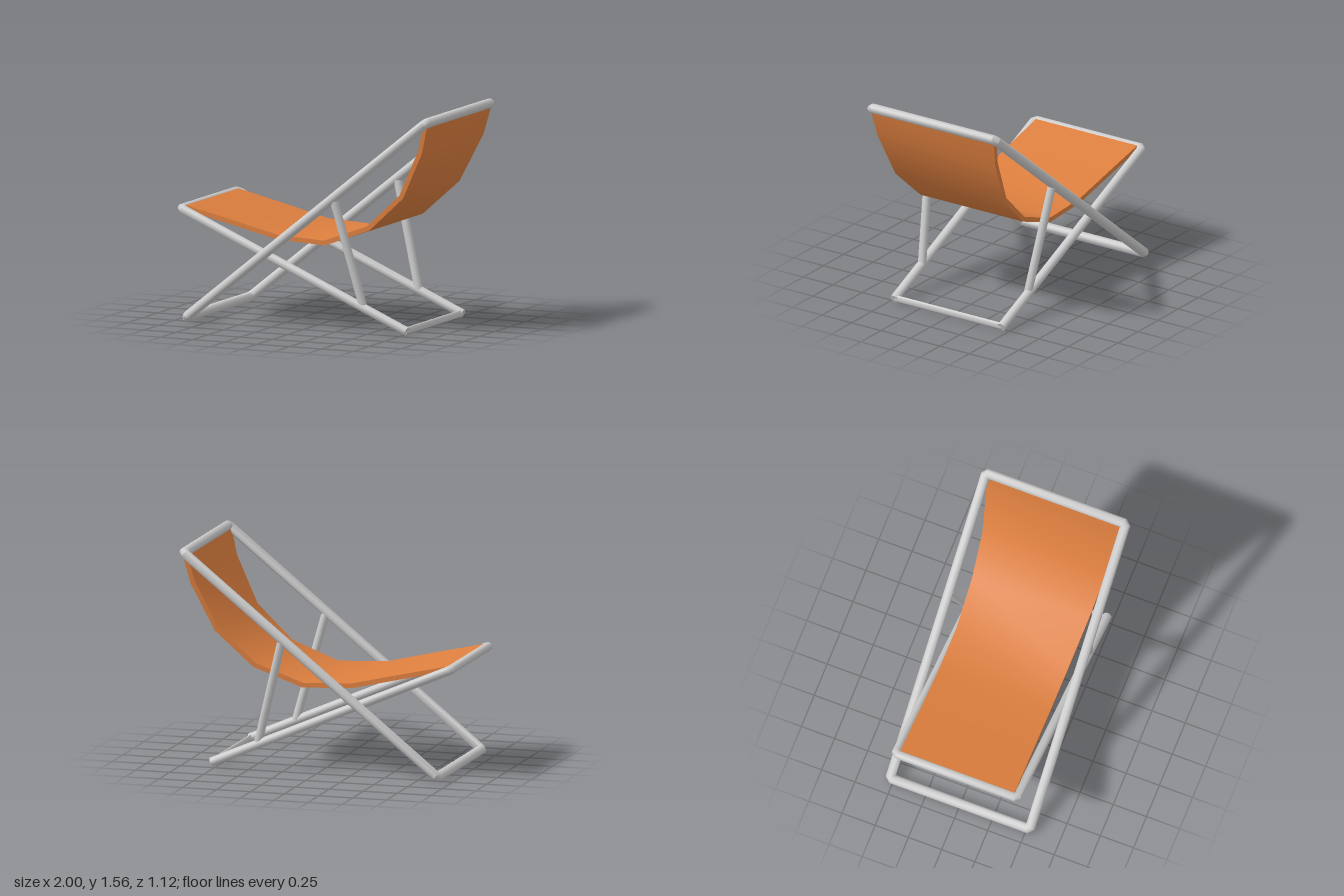
import * as THREE from 'three';
import { toCreasedNormals } from 'three/addons/utils/BufferGeometryUtils.js';

const V = (x, y, z) => new THREE.Vector3(x, y, z);

// Skin a list of equal-sized rings; closed loops join last to first, open ones get caps
function skin(rings, loop) {
  const n = rings[0].length, count = rings.length, idx = [];
  for (let i = 0; i < (loop ? count : count - 1); i++) {
    const p = i * n, q = ((i + 1) % count) * n;
    for (let j = 0; j < n; j++) {
      const k = (j + 1) % n;
      idx.push(p + j, p + k, q + j, p + k, q + k, q + j);
    }
  }
  if (!loop) {
    const e = (count - 1) * n;
    for (let j = 1; j < n - 1; j++) idx.push(0, j + 1, j, e, e + j, e + j + 1);
  }
  const g = new THREE.BufferGeometry().setFromPoints(rings.flat());
  g.setIndex(idx);
  return toCreasedNormals(g, 0.7);
}

// Round tube along a planar path with mitred corners
function mitredTube(path, r, loop, sides = 12) {
  const c = path.length;
  const dir = (a, b) => path[(b + c) % c].clone().sub(path[(a + c) % c]).normalize();
  const normal = dir(0, 1).cross(dir(1, 2)).normalize();
  const rings = path.map((p, i) => {
    let tin = dir(i - 1, i), tout = dir(i, i + 1);
    if (!loop && i === 0) tin = tout;
    if (!loop && i === c - 1) tout = tin;
    const b = normal.clone().cross(tin).add(normal.clone().cross(tout)).normalize();
    const stretch = 1 / Math.sqrt((1 + tin.dot(tout)) / 2);
    return Array.from({ length: sides }, (_, j) => {
      const a = (j / sides) * Math.PI * 2;
      return p.clone().addScaledVector(b, r * Math.cos(a) * stretch)
        .addScaledVector(normal, r * Math.sin(a));
    });
  });
  return skin(rings, loop);
}

// Replace a corner by two points to blunt it
function blunt(prev, p, next, d) {
  return [prev, next].map(q => p.clone().addScaledVector(q.clone().sub(p).normalize(), d));
}

export function createModel() {
  const group = new THREE.Group();
  const grey = new THREE.MeshStandardMaterial({ color: 0xcccccc });
  const orange = new THREE.MeshStandardMaterial({ color: 0xdd7f3f });
  const add = (name, geo, mat = grey) => {
    const m = new THREE.Mesh(geo, mat);
    m.name = name;
    group.add(m);
    return m;
  };
  const rod = (name, a, b, r) => {
    const m = add(name, new THREE.CylinderGeometry(r, r, a.distanceTo(b), 12));
    m.position.copy(a).lerp(b, 0.5);
    m.quaternion.setFromUnitVectors(V(0, 1, 0), b.clone().sub(a).normalize());
    return m;
  };

  // Outer frame: a closed rectangle leaning back
  const outer = [V(-0.895, 0.035, 0.525), V(0.965, 1.53, 0.525),
    V(0.965, 1.53, -0.525), V(-0.895, 0.035, -0.525)];
  const outerPath = outer.flatMap((p, i) => blunt(outer[(i + 3) % 4], p, outer[(i + 1) % 4], 0.02));
  add('backFrame', mitredTube(outerPath, 0.035, true));

  // Inner frame: a U open at its lower end, closed there by a thin flat bar
  const inner = [V(0.785, 0.032, 0.455), V(-0.967, 0.79, 0.455),
    V(-0.967, 0.79, -0.455), V(0.785, 0.032, -0.455)];
  add('seatFrame', mitredTube([inner[0], ...blunt(inner[0], inner[1], inner[2], 0.02),
    ...blunt(inner[1], inner[2], inner[3], 0.02), inner[3]], 0.032, false));
  const bar = rod('seatFrameBar', V(0.775, 0.035, -0.455), V(0.775, 0.035, 0.455), 0.026);
  bar.geometry.scale(0.5, 1, 1);

  // Support struts between the frames
  for (const s of [1, -1]) {
    rod(s > 0 ? 'strutFront' : 'strutBack', V(0.25, 0.935, 0.52 * s), V(0.445, 0.18, 0.45 * s), 0.03);
  }

  // Sling: x, y and half width along its length
  const sling = [[-0.95, 0.795, 0.43], [-0.6, 0.715, 0.425], [-0.24, 0.63, 0.42], [0.125, 0.612, 0.42],
    [0.475, 0.74, 0.437], [0.745, 0.985, 0.462], [0.91, 1.32, 0.5], [0.96, 1.52, 0.522]];
  const half = 0.017;
  const rings = sling.map(([x, y, w], i) => {
    const a = sling[Math.max(i - 1, 0)], b = sling[Math.min(i + 1, sling.length - 1)];
    const n = V(a[1] - b[1], b[0] - a[0], 0).normalize().multiplyScalar(half);
    return [[1, -1], [1, 1], [-1, 1], [-1, -1]].map(([u, s]) => V(x + n.x * u, y + n.y * u, w * s));
  });
  add('sling', skin(rings, false), orange);

  return group;
}
